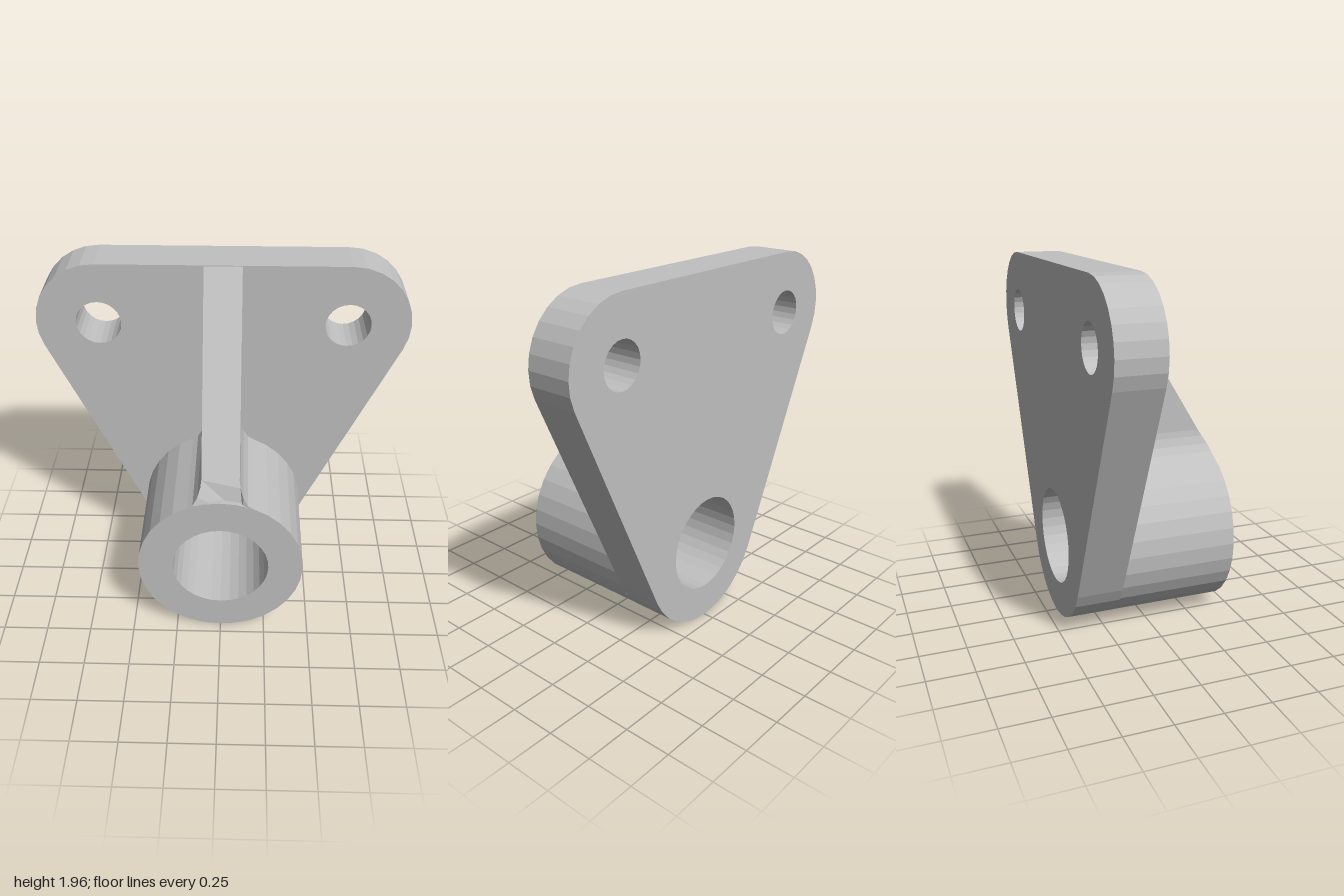
import * as THREE from 'three';

const BACK = -0.44, PLATE_FRONT = -0.19, FRONT = 0.44;
const HUB = { x: 0, y: 0.461, r: 0.455 };
const BORE_R = 0.265;
const EAR = { x: 0.665, y: 1.63, r: 0.335 };
const BOLT_R = 0.122;

// Points of an arc, counter-clockwise from angle a to angle b
function arc(x, y, r, a, b, n) {
  return Array.from({ length: n + 1 }, (_, i) => {
    const t = a + ((b - a) * i) / n;
    return new THREE.Vector2(x + r * Math.cos(t), y + r * Math.sin(t));
  });
}

function circle(x, y, r, n = 32) {
  return arc(x, y, r, 0, Math.PI * 2, n).slice(0, n);
}

// Flat outline with holes, extruded from z0 to z1
function slab(points, holes, z0, z1) {
  const shape = new THREE.Shape(points);
  for (const hole of holes) shape.holes.push(new THREE.Path(hole));
  const geo = new THREE.ExtrudeGeometry(shape, { depth: z1 - z0, bevelEnabled: false });
  return geo.translate(0, 0, z0);
}

export function createModel() {
  const group = new THREE.Group();
  const grey = new THREE.MeshStandardMaterial({ color: 0xc0c0c0, flatShading: true });
  grey.name = 'grey metal';
  const add = (name, geo) => {
    const mesh = new THREE.Mesh(geo, grey);
    mesh.name = name;
    group.add(mesh);
  };

  // Mounting plate: common tangents around the hub and the two ears
  const dx = EAR.x - HUB.x, dy = EAR.y - HUB.y;
  const tangent = Math.atan2(dy, dx) - Math.acos((HUB.r - EAR.r) / Math.hypot(dx, dy));
  const outline = [
    ...arc(HUB.x, HUB.y, HUB.r, -Math.PI - tangent, tangent, 12),
    ...arc(EAR.x, EAR.y, EAR.r, tangent, Math.PI / 2, 9),
    ...arc(-EAR.x, EAR.y, EAR.r, Math.PI / 2, Math.PI - tangent, 9),
  ];
  add('mountingPlate', slab(outline, [
    circle(HUB.x, HUB.y, BORE_R),
    circle(EAR.x, EAR.y, BOLT_R, 24),
    circle(-EAR.x, EAR.y, BOLT_R, 24),
  ], BACK, PLATE_FRONT));

  // Bearing tube
  add('bearingTube', slab(circle(HUB.x, HUB.y, HUB.r),
    [circle(HUB.x, HUB.y, BORE_R)], PLATE_FRONT, FRONT));

  // Rib flaring into the tube, its front cut back to a slope
  const half = [[0.12, 0.83], [0.2, 0.865], [0.145, 0.9], [0.12, 0.94], [0.105, 0.985], [0.1, 1.02], [0.1, 1.96]];
  const profile = [
    ...half.map(([x, y]) => new THREE.Vector2(x, y)),
    ...half.slice().reverse().map(([x, y]) => new THREE.Vector2(-x, y)),
  ];
  const rib = slab(profile, [], PLATE_FRONT - 0.02, FRONT);
  const pos = rib.attributes.position;
  for (let i = 0; i < pos.count; i++) {
    const slope = PLATE_FRONT + ((1.96 - pos.getY(i)) * 0.62) / 1.03;
    if (pos.getZ(i) > 0) pos.setZ(i, Math.min(FRONT - 0.001, slope));
  }
  rib.computeVertexNormals();
  add('supportRib', rib);

  return group;
}
